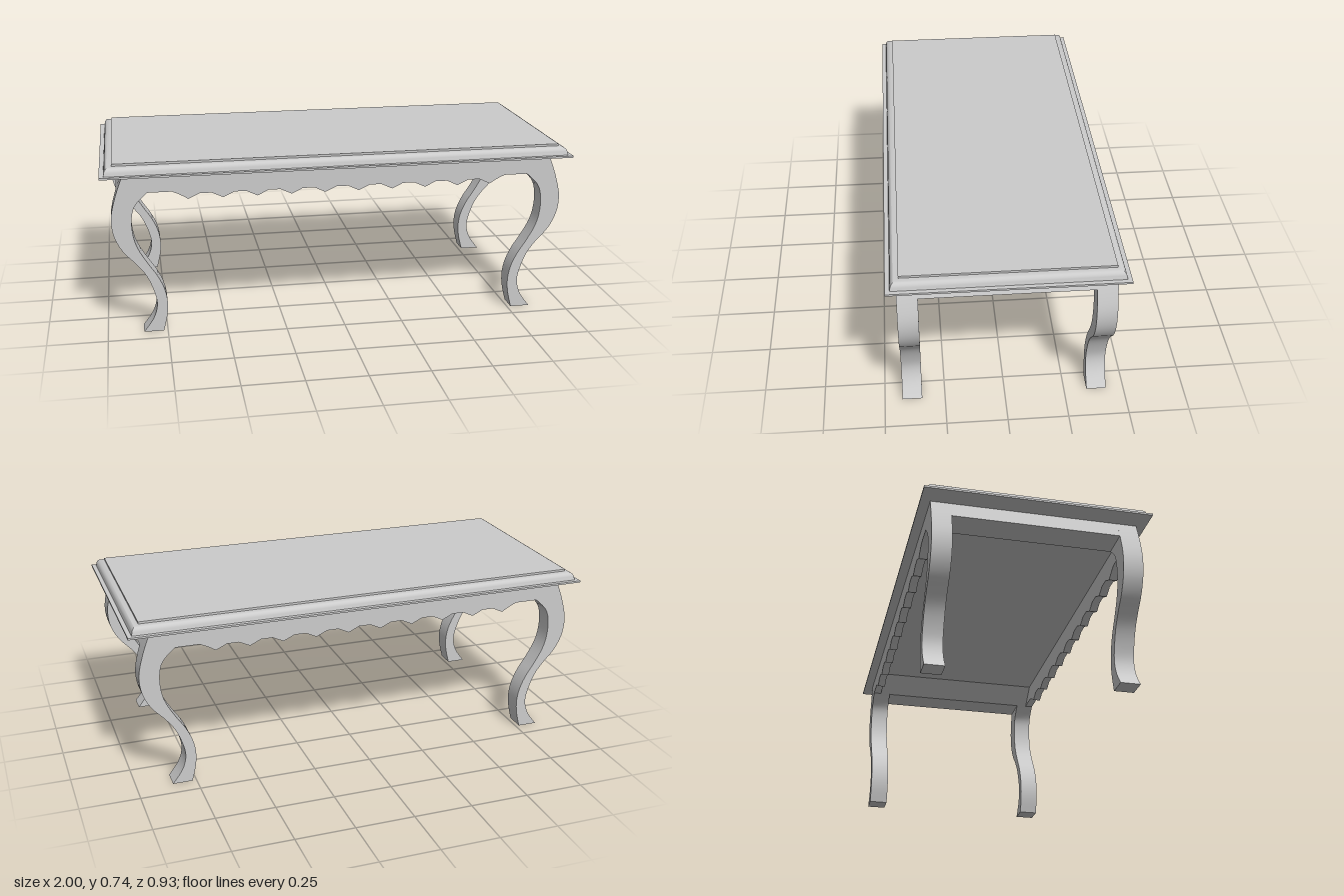
import * as THREE from 'three';
import { toCreasedNormals } from 'three/addons/utils/BufferGeometryUtils.js';

const material = new THREE.MeshStandardMaterial({ color: 0xcccccc });
const V = (points) => points.map(([x, y]) => new THREE.Vector2(x, y));

const TOP = 0.687;          // underside of the table top
const LEG_OUT = 0.427, LEG_IN = 0.345, PANEL_IN = 0.392;

function mesh(name, geometry) {
  const m = new THREE.Mesh(toCreasedNormals(geometry, 0.6), material);
  m.name = name;
  return m;
}

// Extrude a front-view shape between two depths
function slab(shape, z0, z1) {
  const g = new THREE.ExtrudeGeometry(shape, { depth: z1 - z0, bevelEnabled: false, curveSegments: 3 });
  return g.translate(0, 0, z0);
}

// Mirror a shape across x = 0
function mirrored(shape) {
  return new THREE.Shape(shape.getPoints(3).map((p) => new THREE.Vector2(-p.x, p.y)));
}

// Rectangular moulding with mitred corners: profile of [inset, y] from bottom to top
function moulding(profile, halfX, halfZ) {
  const pos = [], index = [];
  for (const [inset, y] of profile) {
    const x = halfX - inset, z = halfZ - inset;
    pos.push(x, y, z, x, y, -z, -x, y, -z, -x, y, z);
  }
  for (let r = 0; r < profile.length - 1; r++) {
    for (let i = 0; i < 4; i++) {
      const a = r * 4 + i, b = r * 4 + (i + 1) % 4;
      index.push(a, b, b + 4, a, b + 4, a + 4);
    }
  }
  const n = (profile.length - 1) * 4;
  index.push(0, 2, 1, 0, 3, 2, n, n + 1, n + 2, n, n + 2, n + 3);
  const g = new THREE.BufferGeometry();
  g.setAttribute('position', new THREE.Float32BufferAttribute(pos, 3));
  g.setIndex(index);
  return g;
}

// Curved leg outline, with a shoulder that meets the apron
function legShape() {
  const s = new THREE.Shape();
  s.moveTo(0.908, TOP);
  s.splineThru(V([[0.94, 0.60], [0.961, 0.51], [0.953, 0.43], [0.918, 0.36], [0.868, 0.305],
    [0.828, 0.25], [0.80, 0.18], [0.79, 0.12], [0.807, 0.06], [0.85, 0]]));
  s.lineTo(0.767, 0);
  s.splineThru(V([[0.75, 0.07], [0.746, 0.13], [0.757, 0.19], [0.784, 0.25], [0.82, 0.305],
    [0.857, 0.37], [0.875, 0.43], [0.878, 0.50], [0.862, 0.56], [0.81, 0.613]]));
  s.lineTo(0.72, TOP);
  return s;
}

// Long apron with a scalloped lower edge
function scallopShape() {
  const step = 0.143, half = 4.5 * step, cusp = 0.578, peak = 0.624;
  const s = new THREE.Shape();
  s.moveTo(-0.72, TOP);
  s.lineTo(-0.81, 0.613);
  s.lineTo(-0.71, 0.613);
  s.quadraticCurveTo(-0.68, 0.602, -half, cusp);
  for (let i = 0; i < 9; i++) {
    const x = -half + i * step;
    s.bezierCurveTo(x + step * 0.3, peak - 0.013, x + step * 0.7, peak - 0.013, x + step, cusp);
  }
  s.quadraticCurveTo(0.68, 0.602, 0.71, 0.613);
  s.lineTo(0.81, 0.613);
  s.lineTo(0.72, TOP);
  return s;
}

export function createModel() {
  const table = new THREE.Group();
  table.name = 'table';

  // Table top: thin base board, rounded moulding, raised top panel
  const top = new THREE.Group();
  top.name = 'tableTop';
  top.add(mesh('baseBoard', moulding([[0, 0.686], [0, 0.694]], 1, 0.467)));
  const curve = [[0.018, 0.694], [0.019, 0.7]];
  for (let i = 0; i <= 6; i++) {
    const a = (i / 6) * Math.PI / 2;
    curve.push([0.044 - 0.024 * Math.cos(a), 0.703 + 0.025 * Math.sin(a)]);
  }
  top.add(mesh('roundedMoulding', moulding(curve, 1, 0.467)));
  top.add(mesh('topPanel', moulding([[0.052, 0.728], [0.052, 0.737]], 1, 0.467)));
  table.add(top);

  // Legs and end aprons, one pair per side
  const leg = legShape();
  const end = new THREE.Shape(V([[0.908, TOP], [0.936, 0.612], [0.81, 0.612], [0.72, TOP]]));
  for (const [side, shape, endShape] of [['left', leg, end], ['right', mirrored(leg), mirrored(end)]]) {
    table.add(mesh(side + 'FrontLeg', slab(shape, LEG_IN, LEG_OUT)));
    table.add(mesh(side + 'BackLeg', slab(shape, -LEG_OUT, -LEG_IN)));
    table.add(mesh(side + 'EndApron', slab(endShape, -LEG_IN, LEG_IN)));
  }

  // Scalloped aprons along the front and back
  const scallop = scallopShape();
  table.add(mesh('frontApron', slab(scallop, PANEL_IN, LEG_OUT)));
  table.add(mesh('backApron', slab(scallop, -LEG_OUT, -PANEL_IN)));

  return table;
}
